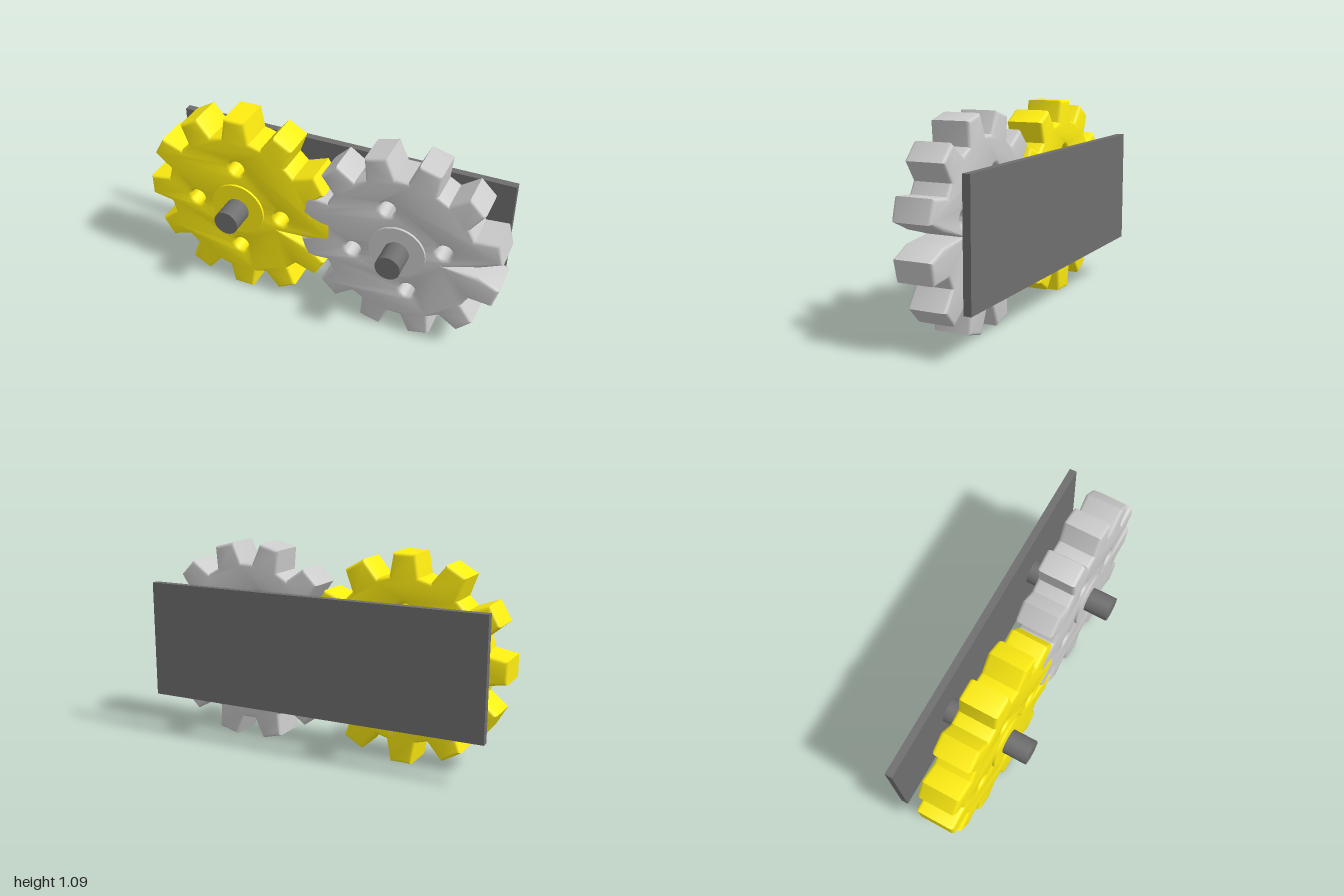
import * as THREE from 'three';
import { toCreasedNormals } from 'three/addons/utils/BufferGeometryUtils.js';

const AXLE_X = 0.455, AXLE_Y = 0.548, TEETH = 12;
const BEVEL = 0.018, GEAR_DEPTH = 0.21, GEAR_Z = 0.011;

function material(color) {
  return new THREE.MeshStandardMaterial({ color });
}

function addMesh(parent, name, geometry, mat, x = 0, y = 0, z = 0) {
  const mesh = new THREE.Mesh(geometry, mat);
  mesh.name = name;
  mesh.position.set(x, y, z);
  parent.add(mesh);
  return mesh;
}

// Cylinder lying along z
function disc(radius, length) {
  return new THREE.CylinderGeometry(radius, radius, length, 48).rotateX(Math.PI / 2);
}

// Toothed outline with a split in the first valley and four round holes
function gearGeometry() {
  const step = (Math.PI * 2) / TEETH;
  const profile = [[0.426, -0.08], [0.545, -0.059], [0.545, 0.059], [0.426, 0.08]];
  const points = [];
  for (let i = 0; i < TEETH; i++) {
    const c = Math.cos(i * step), s = Math.sin(i * step);
    for (const [r, w] of profile) points.push(new THREE.Vector2(r * c - w * s, r * s + w * c));
  }
  // Split reaching in between the last tooth and the first
  const a = -step / 2 - 0.08;
  points.push(new THREE.Vector2(0.255 * Math.cos(a), 0.255 * Math.sin(a)));

  const shape = new THREE.Shape(points);
  for (let i = 0; i < 4; i++) {
    const t = (i * Math.PI) / 2;
    const hole = new THREE.Path();
    hole.absarc(0.253 * Math.cos(t), 0.253 * Math.sin(t), 0.042, 0, Math.PI * 2, true);
    shape.holes.push(hole);
  }
  const geometry = new THREE.ExtrudeGeometry(shape, {
    depth: GEAR_DEPTH - 2 * BEVEL, bevelEnabled: true, bevelThickness: BEVEL,
    bevelSize: BEVEL, bevelOffset: -BEVEL, bevelSegments: 3, curveSegments: 16,
  });
  geometry.translate(0, 0, BEVEL - GEAR_DEPTH / 2);
  return toCreasedNormals(geometry, 0.6);
}

export function createModel() {
  const model = new THREE.Group();
  model.name = 'gearPair';
  const dark = material(0x6e6e6e);

  // Backing plate
  addMesh(model, 'backPlate', new THREE.BoxGeometry(1.9, 0.632, 0.04), dark, 0, 0.549, -0.244);

  // Meshing gears, the second turned by half a tooth
  const teeth = gearGeometry();
  const sides = [
    { name: 'rightGear', x: -AXLE_X, turn: 0, mat: material(0xffee11) },
    { name: 'leftGear', x: AXLE_X, turn: Math.PI / TEETH, mat: material(0xcccccc) },
  ];
  for (const { name, x, turn, mat } of sides) {
    const gear = new THREE.Group();
    gear.name = name;
    gear.position.set(x, AXLE_Y, 0);
    gear.rotation.z = turn;
    addMesh(gear, 'toothedWheel', teeth, mat, 0, 0, GEAR_Z);
    addMesh(gear, 'hub', disc(0.152, 0.235), mat, 0, 0, GEAR_Z + 0.001);
    addMesh(gear, 'axle', disc(0.067, 0.495), dark, 0, 0, 0.0165);
    model.add(gear);
  }
  return model;
}
